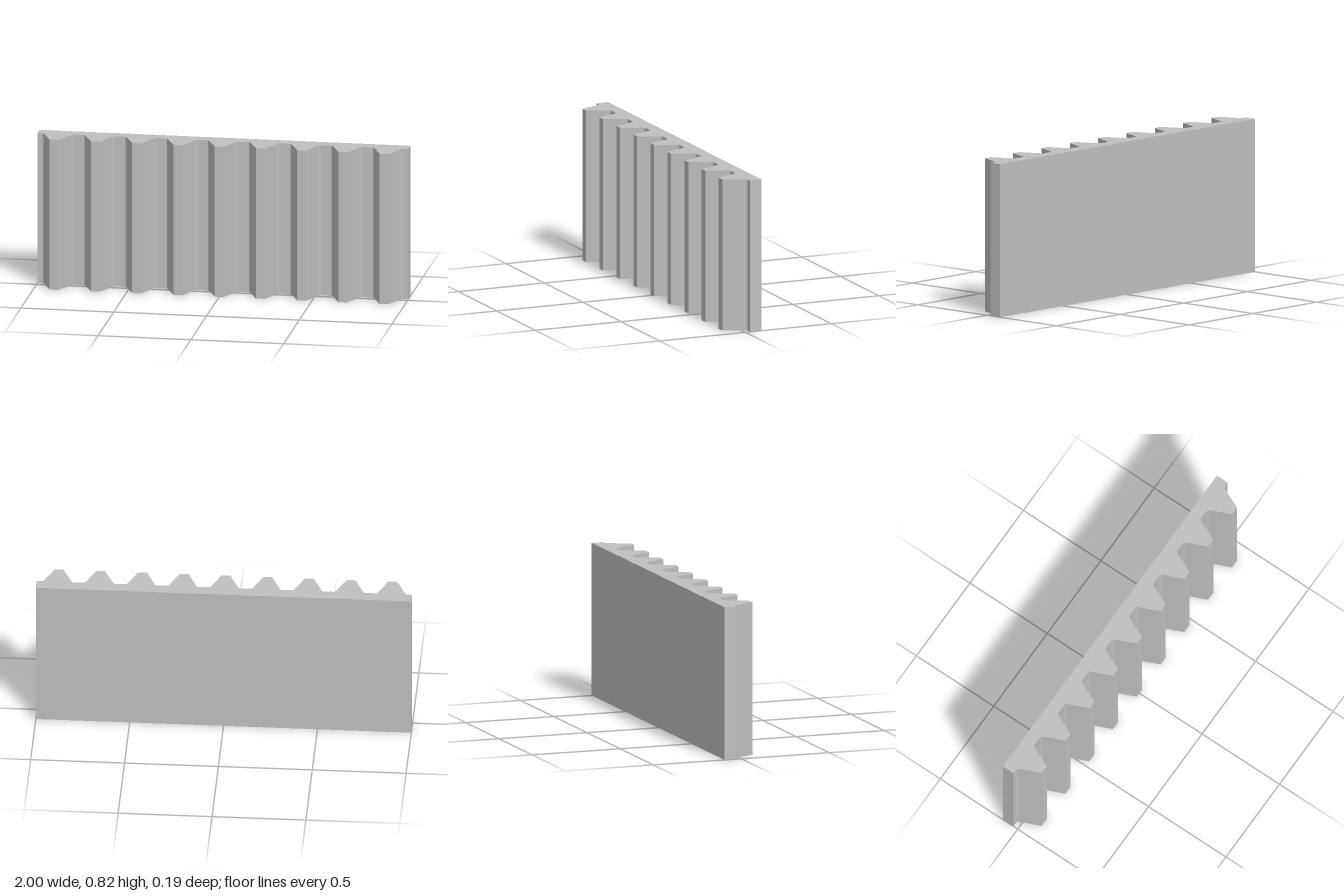
import * as THREE from 'three';

const TEETH = 9, PITCH = 2 / TEETH, HEIGHT = 0.825;
const BACK = -0.095, ROOT = -0.027, TIP = 0.095;

export function createModel() {
  const group = new THREE.Group();
  group.name = 'gearRack';
  const steel = new THREE.MeshStandardMaterial({ color: 0xc0c0c0 });
  steel.name = 'light grey steel';

  // Rack outline seen from above; shape y is -z
  const s = new THREE.Shape();
  s.moveTo(1, -BACK);
  s.lineTo(-1, -BACK);
  s.lineTo(-1, -ROOT);
  for (let i = 0; i < TEETH; i++) {
    const c = -1 + PITCH * (i + 0.5);
    // Root fillet, sloping flank, flat tip, then the mirrored side
    s.lineTo(c - 0.083, -ROOT);
    s.quadraticCurveTo(c - 0.0765, -ROOT, c - 0.070, 0.012);
    s.lineTo(c - 0.024, -TIP);
    s.lineTo(c + 0.024, -TIP);
    s.lineTo(c + 0.070, 0.012);
    s.quadraticCurveTo(c + 0.0765, -ROOT, c + 0.083, -ROOT);
  }
  s.lineTo(1, -ROOT);
  s.closePath();

  // Extrude upwards into the toothed bar
  const geometry = new THREE.ExtrudeGeometry(s, { depth: HEIGHT, bevelEnabled: false, curveSegments: 5 });
  geometry.rotateX(-Math.PI / 2);
  const rack = new THREE.Mesh(geometry, steel);
  rack.name = 'toothedBar';
  group.add(rack);
  return group;
}
